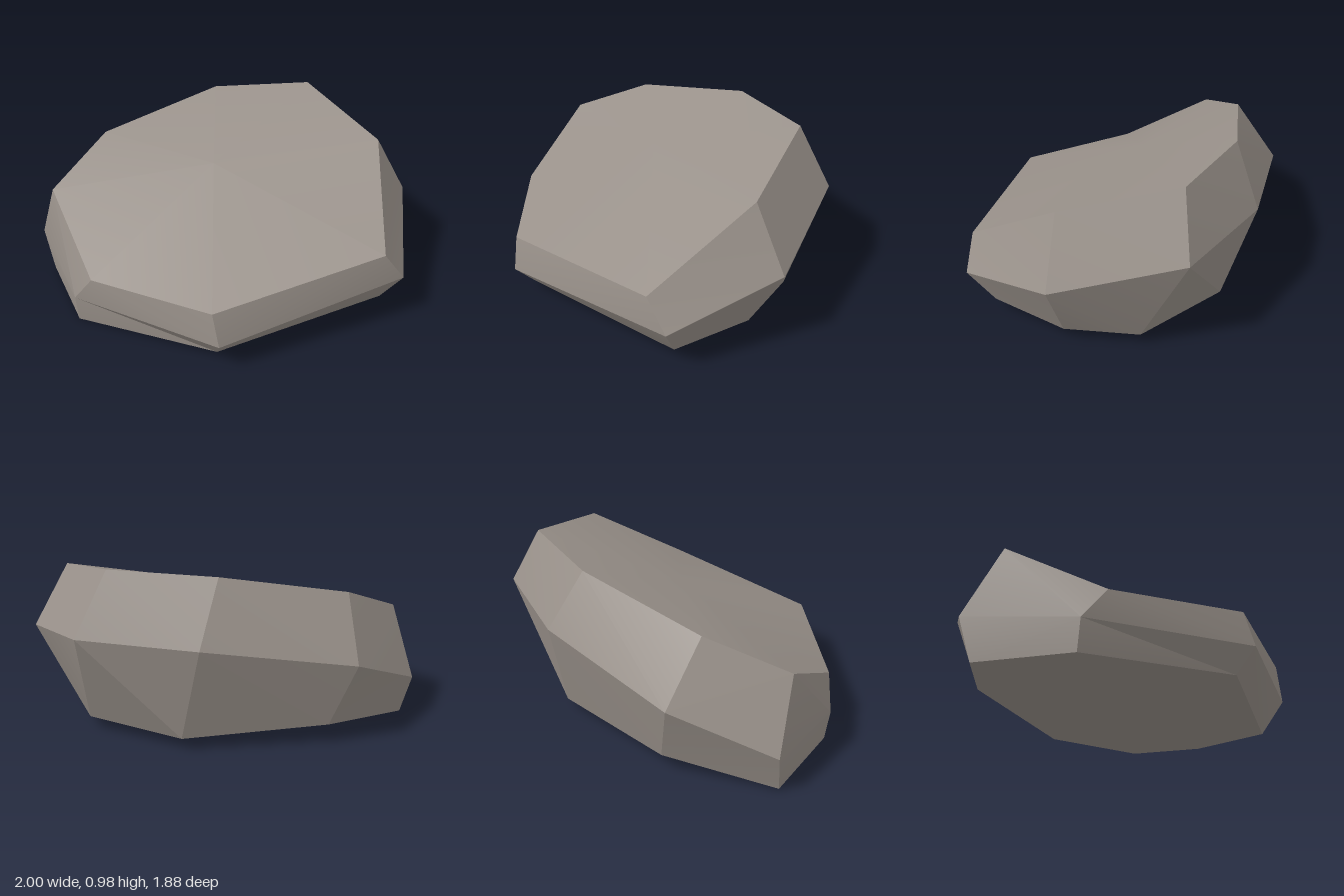
import * as THREE from 'three';
import { toCreasedNormals } from 'three/addons/utils/BufferGeometryUtils.js';

// Three rings of eight corners, clockwise from the back as seen from above
const TOP = [
  [-0.04, 0.98, -0.75], [0.57, 0.85, -0.57], [0.93, 0.47, -0.08], [0.42, 0.37, 0.77],
  [-0.30, 0.34, 0.92], [-0.79, 0.63, 0.71], [-0.80, 0.81, 0.26], [-0.48, 0.96, -0.39],
];
const MIDDLE = [
  [0, 0.64, -0.94], [0.68, 0.49, -0.74], [1, 0.29, -0.19], [0.47, 0.18, 0.78],
  [-0.43, 0.17, 0.94], [-0.98, 0.25, 0.67], [-1, 0.49, 0.11], [-0.54, 0.63, -0.58],
];
const BOTTOM = [
  [0.18, 0.075, -0.74], [0.56, 0.08, -0.57], [0.86, 0.08, -0.21], [0.39, 0.05, 0.70],
  [-0.44, 0, 0.92], [-0.91, 0.01, 0.68], [-0.86, 0.12, 0.07], [-0.37, 0.075, -0.55],
];
const TOP_CENTRE = [-0.12, 0.75, 0.08];
const BOTTOM_CENTRE = [-0.06, 0.11, 0.12];

export function createModel() {
  const stone = new THREE.MeshStandardMaterial({ color: 0x99918a });
  stone.name = 'grey brown stone';

  const points = [];
  const distance = (p, q) => Math.hypot(p[0] - q[0], p[1] - q[1], p[2] - q[2]);

  // Four-cornered facet, folded along its shorter diagonal
  const facet = (a, b, c, d) => {
    if (distance(a, c) < distance(b, d)) points.push(...a, ...b, ...c, ...a, ...c, ...d);
    else points.push(...a, ...b, ...d, ...b, ...c, ...d);
  };

  // Band of facets between two rings
  const band = (lower, upper) => lower.forEach((low, i) => {
    const j = (i + 1) % lower.length;
    facet(lower[j], low, upper[i], upper[j]);
  });
  band(BOTTOM, MIDDLE);
  band(MIDDLE, TOP);

  // Sloping top and underside, four facets each around a centre
  for (let i = 0; i < 8; i += 2) {
    const end = (i + 2) % 8;
    facet(TOP_CENTRE, TOP[end], TOP[i + 1], TOP[i]);
    facet(BOTTOM_CENTRE, BOTTOM[i], BOTTOM[i + 1], BOTTOM[end]);
  }

  const geometry = new THREE.BufferGeometry();
  geometry.setAttribute('position', new THREE.Float32BufferAttribute(points, 3));
  const rock = new THREE.Mesh(toCreasedNormals(geometry, 0.3), stone);
  rock.name = 'rock';

  const model = new THREE.Group();
  model.name = 'boulder';
  model.add(rock);
  return model;
}
